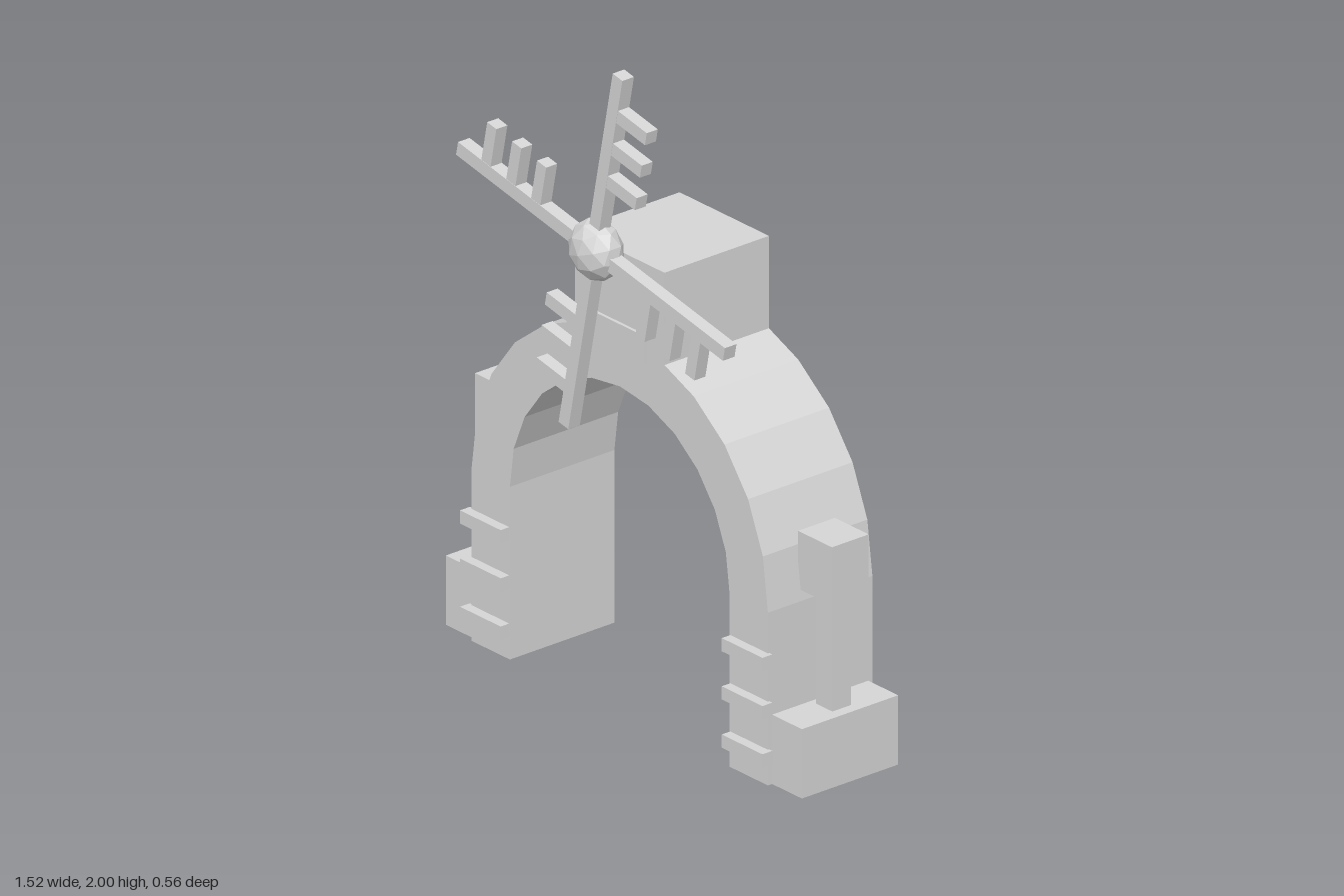
import * as THREE from 'three';

export function createModel() {
  const model = new THREE.Group();
  model.name = 'windmillArch';
  const stone = new THREE.MeshStandardMaterial({ color: 0xd6d6d6, flatShading: true });
  stone.name = 'lightGrey';

  // Box given by its min and max along each axis
  function box(name, [x0, x1], [y0, y1], [z0, z1], parent = model) {
    const mesh = new THREE.Mesh(new THREE.BoxGeometry(x1 - x0, y1 - y0, z1 - z0), stone);
    mesh.position.set((x0 + x1) / 2, (y0 + y1) / 2, (z0 + z1) / 2);
    mesh.name = name;
    parent.add(mesh);
    return mesh;
  }

  // Arch: straight legs and a half circle of twelve facets
  const springY = 0.523, outer = 0.63, inner = 0.467, steps = 12;
  const points = [new THREE.Vector2(outer, 0)];
  for (let i = 0; i <= steps; i++) {
    const a = (i / steps) * Math.PI;
    points.push(new THREE.Vector2(outer * Math.cos(a), springY + outer * Math.sin(a)));
  }
  points.push(new THREE.Vector2(-outer, 0), new THREE.Vector2(-inner, 0));
  for (let i = steps; i >= 0; i--) {
    const a = (i / steps) * Math.PI;
    points.push(new THREE.Vector2(inner * Math.cos(a), springY + inner * Math.sin(a)));
  }
  points.push(new THREE.Vector2(inner, 0));
  const arch = new THREE.Mesh(
    new THREE.ExtrudeGeometry(new THREE.Shape(points), { depth: 0.378, bevelEnabled: false }), stone);
  arch.position.z = -0.253;
  arch.name = 'arch';
  model.add(arch);

  // Block on the crown, with a sign plate on both faces
  box('crownBlock', [-0.19, 0.19], [1.08, 1.4], [-0.253, 0.125]);
  box('signPlate', [-0.115, 0.115], [1.1, 1.185], [-0.262, 0.135]);

  // Both sides: lamp on its base, rungs on the leg, upright on the back
  for (const s of [-1, 1]) {
    const side = (a, b) => (s > 0 ? [a, b] : [-b, -a]);
    box('lampBase', side(0.6, 0.757), [0, 0.21], [-0.238, 0.11]);
    box('lampPost', side(0.653, 0.722), [0.2, 0.56], [-0.097, -0.03]);
    box('lampHead', side(0.615, 0.759), [0.555, 0.73], [-0.13, 0.003]);
    for (let i = 0; i < 3; i++) {
      const y = 0.088 + i * 0.146;
      box('legRung', side(0.47, 0.643), [y - 0.02, y + 0.02], [0.12, 0.156]);
    }
    box('backUpright', side(0.118, 0.156), [1.155, 1.357], [-0.281, -0.245]);
  }

  // Rotor: four comb-like blades around a flattened hub
  const rotor = new THREE.Group();
  rotor.name = 'rotor';
  rotor.position.set(0, 1.43, 0.21);
  rotor.rotation.z = -0.2;
  model.add(rotor);
  const hub = new THREE.Mesh(new THREE.IcosahedronGeometry(0.091, 1), stone);
  hub.scale.z = 0.75;
  hub.name = 'hub';
  rotor.add(hub);
  for (let i = 0; i < 4; i++) {
    const blade = new THREE.Group();
    blade.name = 'blade';
    blade.rotation.z = (i * Math.PI) / 2;
    box('bladeSpar', [-0.021, 0.021], [0, 0.579], [-0.021, 0.021], blade);
    for (const u of [0.243, 0.351, 0.459]) {
      box('bladeSlat', [0.01, 0.146], [u - 0.02, u + 0.02], [-0.02, 0.02], blade);
    }
    rotor.add(blade);
  }
  return model;
}
